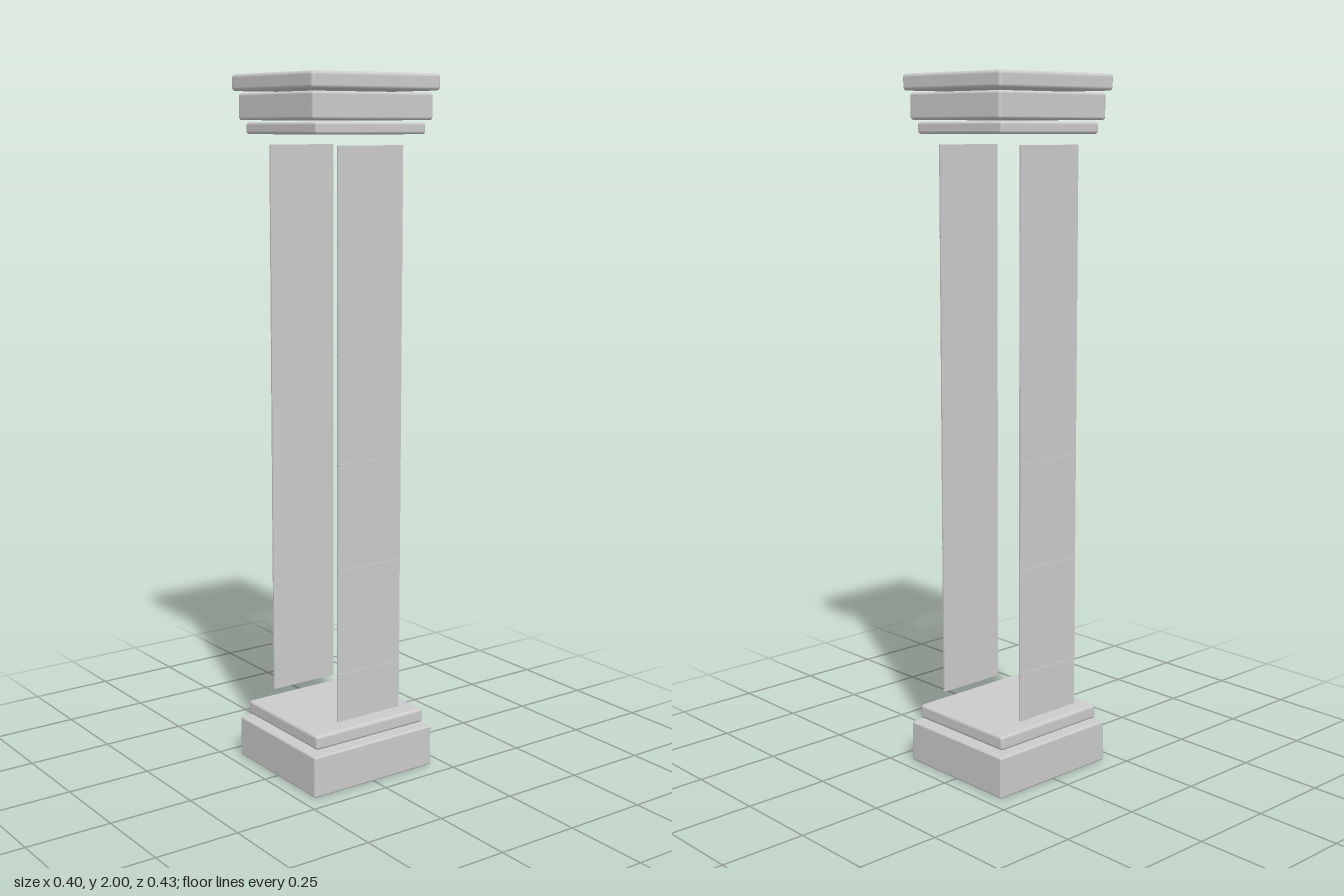
import * as THREE from 'three';
import { RoundedBoxGeometry } from 'three/addons/geometries/RoundedBoxGeometry.js';

export function createModel() {
  const model = new THREE.Group();
  model.name = 'pillar';
  const stone = new THREE.MeshStandardMaterial({ color: 0xcccccc });

  function add(name, geometry, x, y, z, parent = model) {
    const mesh = new THREE.Mesh(geometry, stone);
    mesh.name = name;
    mesh.position.set(x, y, z);
    parent.add(mesh);
    return mesh;
  }

  // Base and capital slabs: name, width, depth, bottom, top, edge radius
  const slabs = [
    ['baseBlock', 0.39, 0.418, 0, 0.122, 0.006],
    ['baseStep', 0.356, 0.38, 0.132, 0.174, 0.009],
    ['capitalNeck', 0.344, 0.368, 1.837, 1.87, 0.008],
    ['capitalBlock', 0.366, 0.402, 1.875, 1.949, 0.008],
    ['capitalTop', 0.398, 0.428, 1.954, 2, 0.01],
  ];
  for (const [name, w, d, y0, y1, r] of slabs) {
    add(name, new RoundedBoxGeometry(w, y1 - y0, d, 3, r), 0, (y0 + y1) / 2, 0);
  }

  // Thin shaft panels with raised joint strips on the outer face
  const bottom = 0.196, top = 1.808, depth = 0.218;
  for (const side of [-1, 1]) {
    const panel = new THREE.Group();
    panel.name = side > 0 ? 'leftPanel' : 'rightPanel';
    model.add(panel);
    add('panelSheet', new THREE.BoxGeometry(0.005, top - bottom, depth),
      side * 0.164, (bottom + top) / 2, 0, panel);
    for (let i = 0; i < 5; i++) {
      add('jointStrip', new THREE.BoxGeometry(0.005, 0.004, depth),
        side * 0.167, 0.336 + i * 0.3033, 0, panel);
    }
  }
  return model;
}
